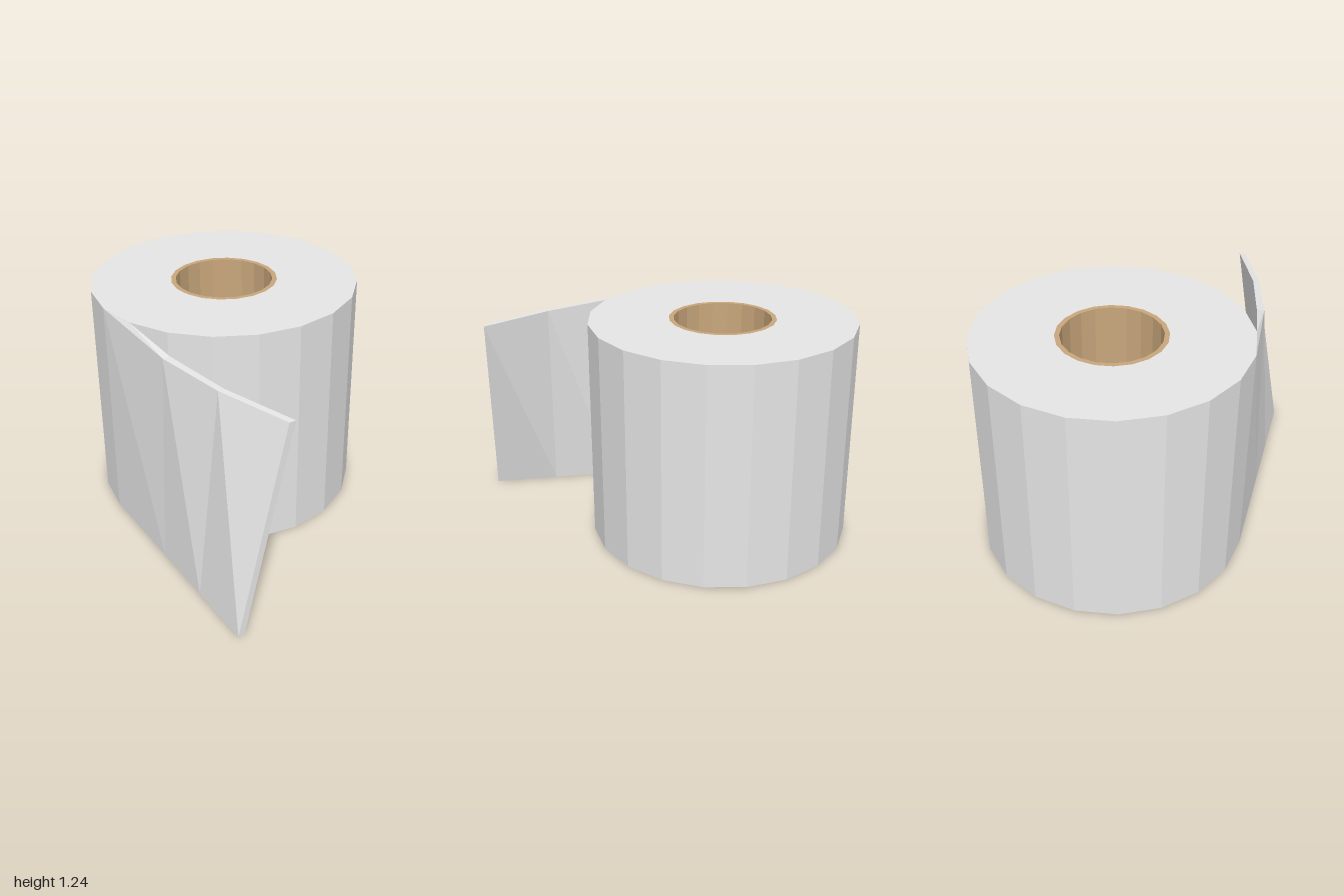
import * as THREE from 'three';

const HEIGHT = 1.235;
const SIDES = 20;
const ROLL_Z = -0.275;

// Regular polygon points, first corner on +x
function ring(radius) {
  return Array.from({ length: SIDES }, (_, i) => {
    const a = (i / SIDES) * Math.PI * 2;
    return new THREE.Vector2(Math.cos(a) * radius, Math.sin(a) * radius);
  });
}

// Upright faceted tube standing on y = 0
function tube(name, outer, inner, material) {
  const shape = new THREE.Shape(ring(outer));
  shape.holes.push(new THREE.Path(ring(inner)));
  const geometry = new THREE.ExtrudeGeometry(shape, { depth: HEIGHT, bevelEnabled: false });
  geometry.rotateX(-Math.PI / 2);
  const mesh = new THREE.Mesh(geometry, material);
  mesh.name = name;
  mesh.position.z = ROLL_Z;
  return mesh;
}

// Loose sheet: straight along the floor, its top edge curling inward
function looseSheet(material) {
  // outer top x, inner top x, top y, outer z, inner z
  const stations = [
    [-0.725, -0.69, HEIGHT, -0.275, -0.05],
    [-0.68, -0.64, 1.172, 0.27, 0.27],
    [-0.595, -0.56, 1.143, 0.635, 0.635],
    [-0.453, -0.418, 1.115, 1, 1],
  ];
  const sections = stations.map(([xo, xi, y, zo, zi]) => ({
    outBottom: [-0.725, 0, zo],
    outTop: [xo, y, zo],
    inBottom: [-0.69, 0, zi],
    inTop: [xi, y, zi],
  }));
  const positions = [];
  const quad = (a, b, c, d) => positions.push(...a, ...b, ...c, ...a, ...c, ...d);
  for (let i = 0; i < sections.length - 1; i++) {
    const p = sections[i], q = sections[i + 1];
    quad(p.outTop, p.outBottom, q.outBottom, q.outTop); // outer face
    quad(p.inBottom, p.inTop, q.inTop, q.inBottom); // inner face
    quad(p.inTop, p.outTop, q.outTop, q.inTop); // top edge
    quad(p.outBottom, p.inBottom, q.inBottom, q.outBottom); // bottom edge
  }
  // Torn end
  const e = sections[sections.length - 1];
  quad(e.outBottom, e.inBottom, e.inTop, e.outTop);

  const geometry = new THREE.BufferGeometry();
  geometry.setAttribute('position', new THREE.Float32BufferAttribute(positions, 3));
  geometry.computeVertexNormals();
  const mesh = new THREE.Mesh(geometry, material);
  mesh.name = 'looseSheet';
  return mesh;
}

export function createModel() {
  const paper = new THREE.MeshStandardMaterial({ color: 0xe6e6e6 });
  paper.name = 'paper';
  const cardboard = new THREE.MeshStandardMaterial({ color: 0xc9a77c });
  cardboard.name = 'cardboard';

  const group = new THREE.Group();
  group.name = 'paperRoll';
  group.add(
    tube('paperRollBody', 0.725, 0.29, paper),
    tube('cardboardCore', 0.29, 0.264, cardboard),
    looseSheet(paper),
  );
  return group;
}
